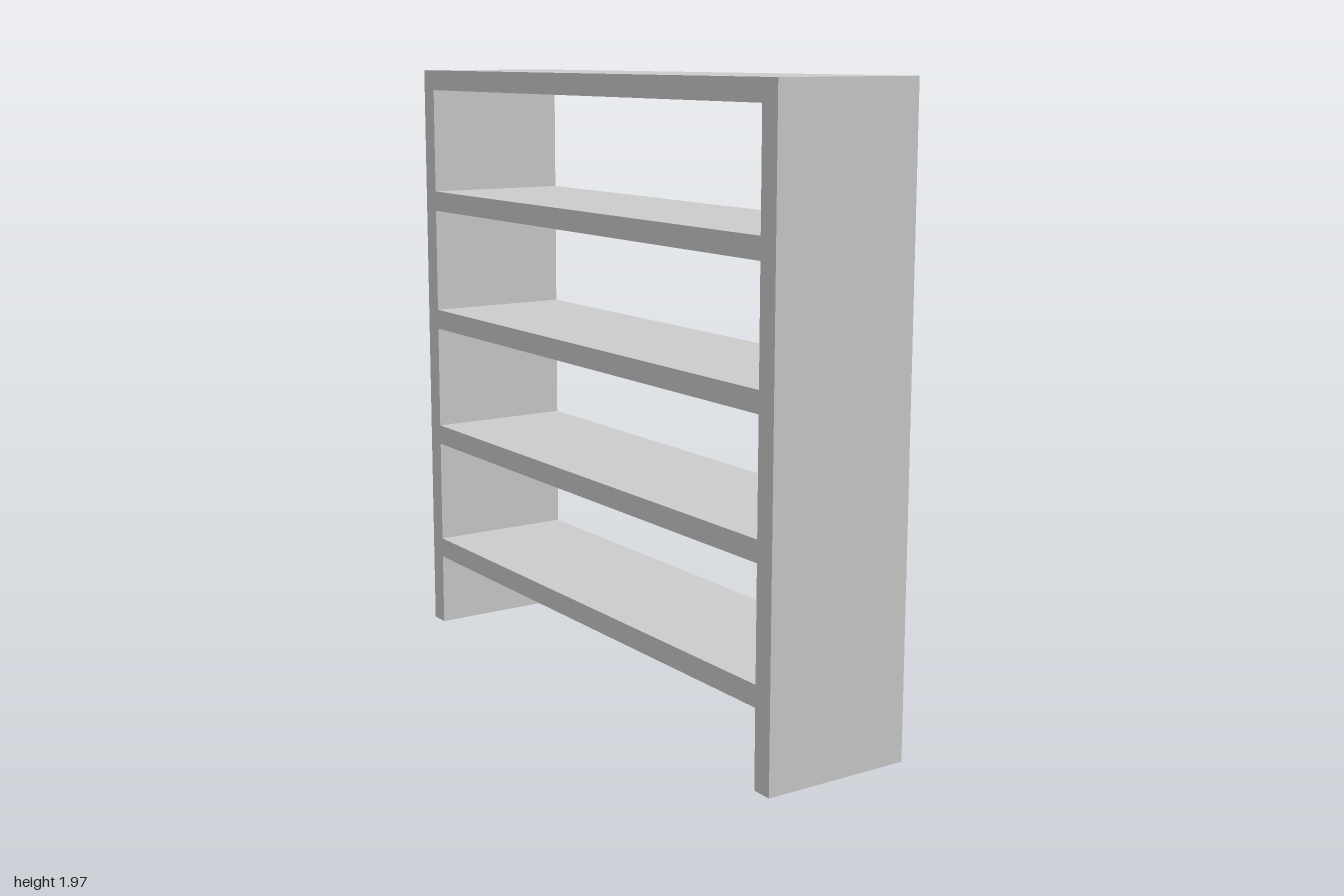
import * as THREE from 'three';

const HEIGHT = 1.97, HALF_LENGTH = 1, DEPTH = 0.485;
const BOARD = 0.067;          // thickness of every board
const FIRST_SHELF = 0.243;    // underside of the lowest shelf
const PITCH = 0.415;          // spacing from shelf to shelf
const SHELVES = 5;            // including the top board

export function createModel() {
  const group = new THREE.Group();
  group.name = 'openBookcase';
  const inner = HALF_LENGTH - BOARD;

  // Outline of the frame, notched below the lowest shelf to leave two legs
  const outline = new THREE.Shape([
    [-HALF_LENGTH, 0], [-inner, 0], [-inner, FIRST_SHELF], [inner, FIRST_SHELF],
    [inner, 0], [HALF_LENGTH, 0], [HALF_LENGTH, HEIGHT], [-HALF_LENGTH, HEIGHT],
  ].map(([x, y]) => new THREE.Vector2(x, y)));

  // Open compartments between neighbouring shelves
  for (let i = 0; i < SHELVES - 1; i++) {
    const bottom = FIRST_SHELF + i * PITCH + BOARD;
    const top = FIRST_SHELF + (i + 1) * PITCH;
    outline.holes.push(new THREE.Path([
      new THREE.Vector2(-inner, bottom), new THREE.Vector2(-inner, top),
      new THREE.Vector2(inner, top), new THREE.Vector2(inner, bottom),
    ]));
  }

  // Side panels and shelves as one seamless frame, its length running along z
  const geometry = new THREE.ExtrudeGeometry(outline, { depth: DEPTH, bevelEnabled: false });
  geometry.translate(0, 0, -DEPTH / 2).rotateY(Math.PI / 2);
  const frame = new THREE.Mesh(geometry, new THREE.MeshStandardMaterial({ color: 0xcccccc }));
  frame.name = 'shelfFrame';
  group.add(frame);
  return group;
}
